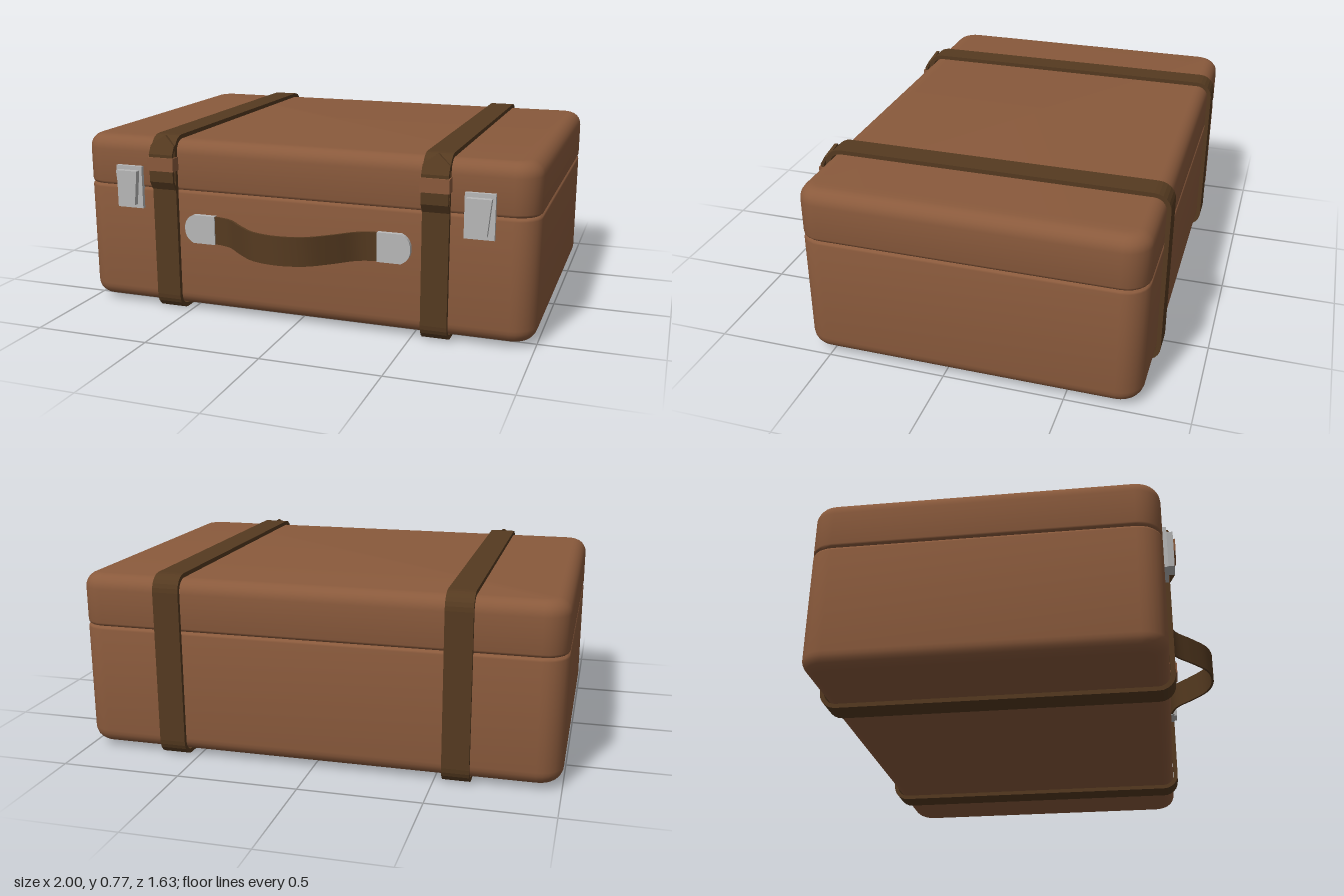
import * as THREE from 'three';
import { toCreasedNormals } from 'three/addons/utils/BufferGeometryUtils.js';

const leather = new THREE.MeshStandardMaterial({ color: 0x8a5a3c });
leather.name = 'brown leather';
const strapLeather = new THREE.MeshStandardMaterial({ color: 0x553a20 });
strapLeather.name = 'dark strap leather';
const metal = new THREE.MeshStandardMaterial({ color: 0xb8b8b8 });
metal.name = 'grey metal';

const FRONT = 0.603, BACK = -0.8;
const V = (x, y, z) => new THREE.Vector3(x, y, z);

function part(name, geometry, material, x = 0, y = 0, z = 0) {
  const mesh = new THREE.Mesh(geometry, material);
  mesh.name = name;
  mesh.position.set(x, y, z);
  return mesh;
}

// Skin a row of equal loops (counter-clockwise about the travel direction) and cap both ends
function loft(loops, crease = 0.6) {
  const n = loops[0].length, index = [];
  const points = loops.flat();
  for (let j = 0; j < loops.length - 1; j++) {
    for (let i = 0; i < n; i++) {
      const a = j * n + i, b = j * n + (i + 1) % n;
      index.push(a, b, b + n, a, b + n, a + n);
    }
  }
  const last = (loops.length - 1) * n;
  for (let i = 1; i < n - 1; i++) {
    index.push(0, i + 1, i, last, last + i, last + i + 1);
  }
  const g = new THREE.BufferGeometry().setFromPoints(points);
  g.setIndex(index);
  return toCreasedNormals(g, crease);
}

// Horizontal rounded outline of the case, drawn in by an inset
function caseLoop(y, inset) {
  const r = 0.1 - inset, hx = 1 - inset - r, hz = (FRONT - BACK) / 2 - inset - r;
  const cz = (FRONT + BACK) / 2, loop = [];
  const corners = [[1, 1], [1, -1], [-1, -1], [-1, 1]];
  corners.forEach(([sx, sz], c) => {
    for (let i = 0; i <= 6; i++) {
      const a = (c + i / 6) * Math.PI / 2;
      loop.push(V(sx * hx + r * Math.sin(a), y, cz + sz * hz + r * Math.cos(a)));
    }
  });
  return loop;
}

// Half of the case: soft outer edge at yOuter, small lip at the seam
function caseShell(yOuter, ySeam) {
  const up = Math.sign(ySeam - yOuter), loops = [];
  const arc = (y, r, dir, from, to, steps) => {
    for (let i = 0; i <= steps; i++) {
      const a = THREE.MathUtils.lerp(from, to, i / steps);
      loops.push(caseLoop(y + dir * r * (1 - Math.sin(a)), r * (1 - Math.cos(a))));
    }
  };
  arc(yOuter, 0.06, up, Math.PI / 2, 0, 6);
  arc(ySeam, 0.014, -up, 0, Math.PI / 2, 3);
  if (up < 0) loops.reverse();
  return loft(loops);
}

function roundedPath(path, x0, y0, x1, y1, r) {
  path.moveTo(x0 + r, y0).lineTo(x1 - r, y0);
  path.absarc(x1 - r, y0 + r, r, -Math.PI / 2, 0);
  path.lineTo(x1, y1 - r).absarc(x1 - r, y1 - r, r, 0, Math.PI / 2);
  path.lineTo(x0 + r, y1).absarc(x0 + r, y1 - r, r, Math.PI / 2, Math.PI);
  path.lineTo(x0, y0 + r).absarc(x0 + r, y0 + r, r, Math.PI, Math.PI * 1.5);
  return path;
}

// Closed band round the case, with a pointed end tucked through a keeper loop
function strap(name, x) {
  const group = new THREE.Group();
  group.name = name;
  group.position.x = x;

  const shape = roundedPath(new THREE.Shape(), -0.82, 0, 0.626, 0.775, 0.07);
  shape.holes.push(roundedPath(new THREE.Path(), -0.802, 0.018, 0.606, 0.757, 0.052));
  const band = new THREE.ExtrudeGeometry(shape, { depth: 0.11, bevelEnabled: false, curveSegments: 3 });
  band.translate(0, 0, -0.055).rotateY(-Math.PI / 2);
  group.add(part('strapBand', band, strapLeather));

  // y, z and half width along the loose end
  const path = [[0.545, 0.615, 0.055], [0.58, 0.636, 0.055], [0.70, 0.636, 0.055],
    [0.735, 0.616, 0.055], [0.775, 0.592, 0.003]];
  const end = loft(path.map(([y, z, w]) => [
    V(-w, y, z), V(-w, y, z + 0.014), V(w, y, z + 0.014), V(w, y, z)]), 0.2);
  group.add(part('strapEnd', end, strapLeather));

  group.add(part('strapKeeper', new THREE.BoxGeometry(0.12, 0.058, 0.05), leather, 0, 0.658, 0.632));
  return group;
}

// Backing plate with a tapered lever
function latch(name, x) {
  const group = new THREE.Group();
  group.name = name;
  group.position.set(x, 0.542, FRONT);
  group.add(part('latchPlate', new THREE.BoxGeometry(0.122, 0.185, 0.026), metal, 0, 0, 0.004));
  const lever = new THREE.Shape([[-0.035, -0.075], [0.035, -0.075], [0.05, 0.075], [-0.05, 0.075]]
    .map(([px, py]) => new THREE.Vector2(px, py)));
  group.add(part('latchLever',
    new THREE.ExtrudeGeometry(lever, { depth: 0.028, bevelEnabled: false }), metal, 0, 0, 0.014));
  return group;
}

function handle() {
  const group = new THREE.Group();
  group.name = 'handle';

  // Bowed leather grip, as a thin band following a curve
  const half = [[0.42, 0.612], [0.35, 0.616], [0.28, 0.64], [0.2, 0.712], [0.11, 0.78]];
  const points = [...half.map(([x, z]) => V(-x, 0, z)), V(0, 0, 0.803),
    ...half.map(([x, z]) => V(x, 0, z)).reverse()];
  const curve = new THREE.CatmullRomCurve3(points);
  const loops = [];
  for (let i = 0; i <= 40; i++) {
    const p = curve.getPoint(i / 40), t = curve.getTangent(i / 40);
    const n = V(-t.z, 0, t.x).multiplyScalar(0.005);
    loops.push([[0.32, -1], [0.44, -1], [0.44, 1], [0.32, 1]]
      .map(([y, s]) => V(p.x + s * n.x, y, p.z + s * n.z)));
  }
  group.add(part('handleGrip', loft(loops), strapLeather));

  // Metal end plates with rounded outer ends
  for (const side of [-1, 1]) {
    const shape = new THREE.Shape();
    shape.moveTo(0.36, -0.062).lineTo(0.46, -0.062);
    shape.quadraticCurveTo(0.5, -0.045, 0.5, 0).quadraticCurveTo(0.5, 0.045, 0.46, 0.062);
    shape.lineTo(0.36, 0.062).closePath();
    const plate = new THREE.ExtrudeGeometry(shape, { depth: 0.028, bevelEnabled: false, curveSegments: 5 });
    if (side < 0) plate.translate(0, 0, -0.014).rotateY(Math.PI).translate(0, 0, 0.014);
    group.add(part(side < 0 ? 'rightHandlePlate' : 'leftHandlePlate', plate, metal, 0, 0.38, 0.597));
  }
  return group;
}

export function createModel() {
  const model = new THREE.Group();
  model.name = 'suitcase';
  model.add(
    part('caseBase', caseShell(0.02, 0.54), leather),
    part('caseLid', caseShell(0.757, 0.54), leather),
    strap('rightStrap', -0.59), strap('leftStrap', 0.6),
    latch('rightLatch', -0.763), latch('leftLatch', 0.773),
    handle());
  return model;
}
